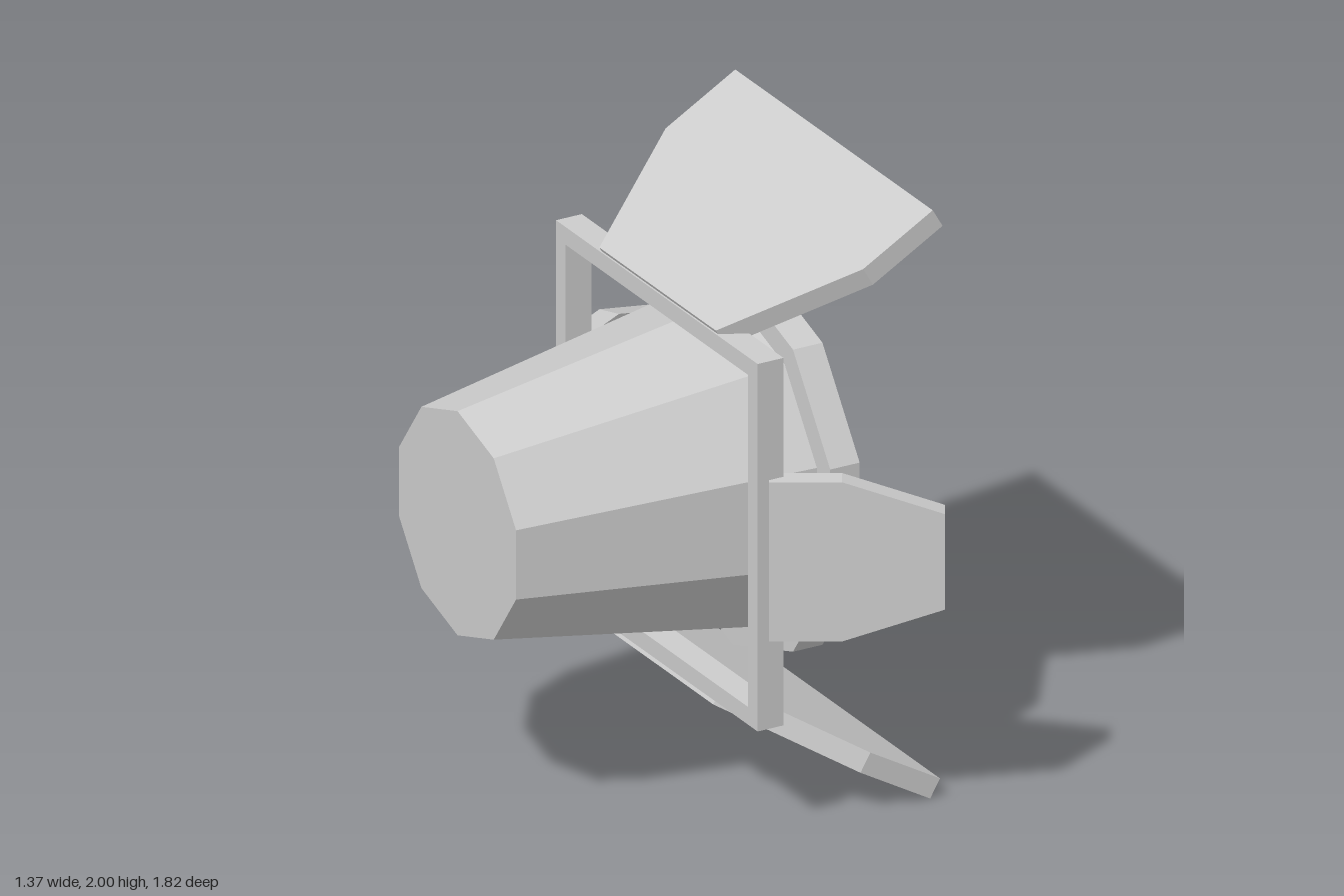
import * as THREE from 'three';

const material = new THREE.MeshStandardMaterial({ color: 0xcccccc, flatShading: true });

function add(parent, name, geometry) {
  const mesh = new THREE.Mesh(geometry, material);
  mesh.name = name;
  parent.add(mesh);
  return mesh;
}

// Ten-sided drum lying along x, with a corner pointing straight up
function drum(x0, x1, r0, r1) {
  return new THREE.CylinderGeometry(r1, r0, x1 - x0, 10)
    .rotateY(Math.PI / 2)
    .rotateZ(-Math.PI / 2)
    .translate((x0 + x1) / 2, 0, 0);
}

// Six-cornered plate: runs along x, given half-widths at hinge, bend and tip
function plate(length, bend, w0, w1, w2, offset) {
  const pts = [[0, -w0], [bend, -w1], [length, -w2], [length, w2], [bend, w1], [0, w0]];
  const shape = new THREE.Shape(pts.map(([x, y]) => new THREE.Vector2(x, y + offset)));
  return new THREE.ExtrudeGeometry(shape, { depth: 0.07, bevelEnabled: false })
    .translate(0, 0, -0.07)
    .rotateX(-Math.PI / 2)
    .rotateZ(Math.PI / 6);
}

export function createModel() {
  const model = new THREE.Group();
  model.name = 'spotlight';
  const lamp = new THREE.Group();
  lamp.name = 'lamp';
  lamp.position.y = 1;
  model.add(lamp);

  // Tapered housing and front lens ring
  add(lamp, 'housing', drum(-0.687, 0.3, 0.38, 0.547));
  add(lamp, 'lens', drum(0.295, 0.4, 0.633, 0.633));

  // Square frame that carries the flaps
  const outer = 0.623, inner = 0.563;
  const square = (P, s) => new P([[-s, -s], [s, -s], [s, s], [-s, s]].map(([x, y]) => new THREE.Vector2(x, y)));
  const frame = square(THREE.Shape, outer);
  frame.holes.push(square(THREE.Path, inner));
  add(lamp, 'frame', new THREE.ExtrudeGeometry(frame, { depth: 0.092, bevelEnabled: false })
    .rotateY(Math.PI / 2)
    .translate(0.024, 0, 0));

  // Four flaps swung around the lamp axis
  const wide = () => plate(0.727, 0.44, 0.36, 0.61, 0.61, -0.008);
  const narrow = (offset) => plate(0.543, 0.225, 0.27, 0.27, 0.162, offset);
  const flaps = [
    ['topFlap', wide(), 0, 0.022],
    ['bottomFlap', wide(), Math.PI, 0.022],
    ['leftFlap', narrow(-0.05), Math.PI / 2, 0.057],
    ['rightFlap', narrow(0.05), -Math.PI / 2, 0.057],
  ];
  for (const [name, geometry, angle, x] of flaps) {
    add(lamp, name, geometry.translate(x, 0.637, 0)).rotation.x = angle;
  }
  return model;
}
